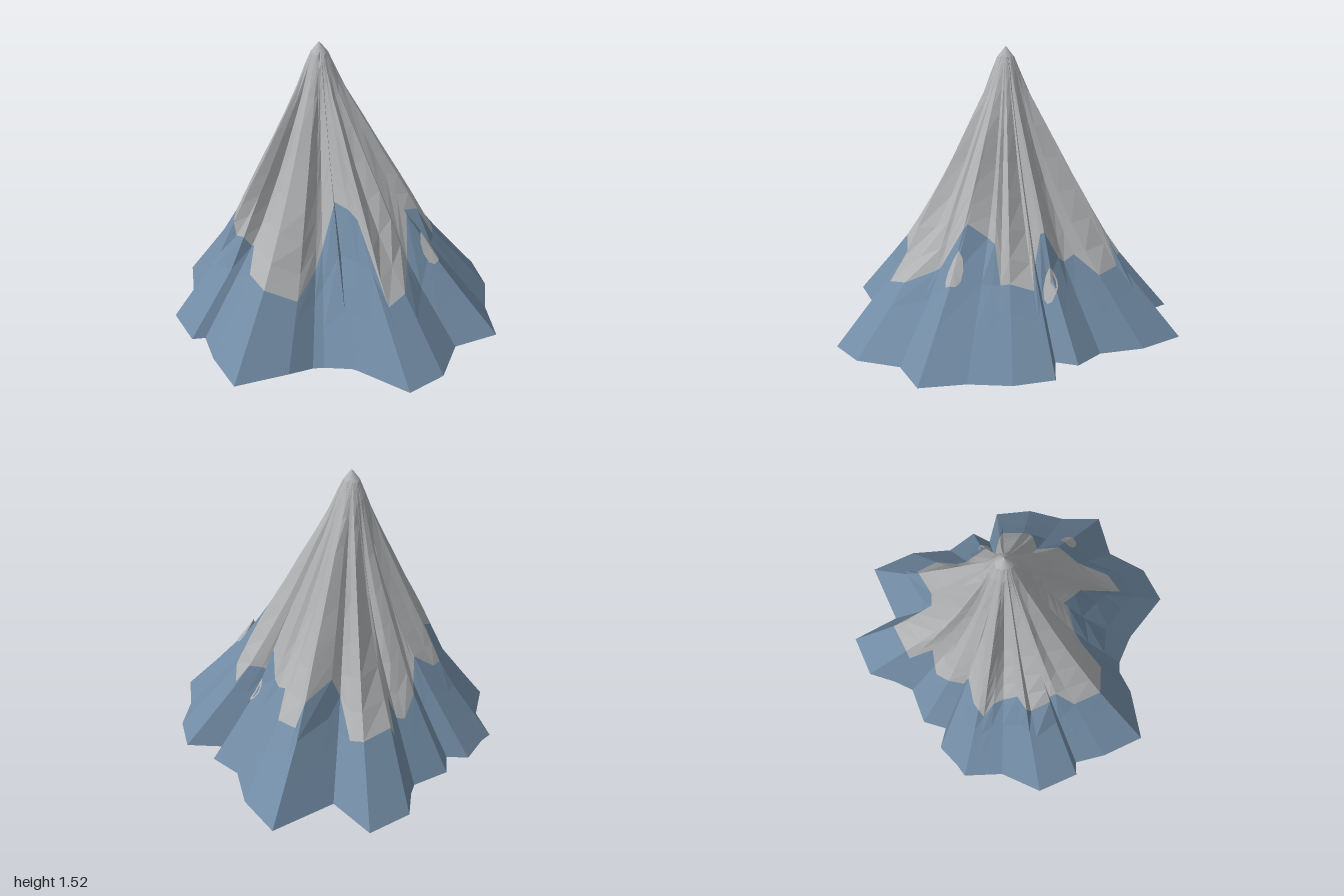
import * as THREE from 'three';

const PEAK = { x: -0.145, z: 0.015, y: 1.525 };

// Foot of the mountain (x, z), alternating ridges and gullies
const FOOT = [
  [0.93, 0.02], [0.76, 0.21], [0.78, 0.45], [0.67, 0.64], [0.36, 0.61], [0.17, 0.62], [0.12, 0.65], [0.05, 0.79],
  [-0.16, 0.99], [-0.37, 0.86], [-0.5, 0.74], [-0.56, 0.78], [-0.76, 0.65], [-0.8, 0.41], [-0.93, 0.23], [-0.85, 0.01],
  [-0.74, -0.03], [-0.78, -0.16], [-0.66, -0.33], [-0.74, -0.61], [-0.61, -0.82], [-0.36, -0.69], [-0.17, -1],
  [0.06, -0.86], [0.21, -0.67], [0.39, -0.61], [0.4, -0.49], [0.59, -0.56], [0.73, -0.39], [0.8, -0.18],
];

// Snow line seen from above (x, z)
const SNOW = [
  [0.36, 0.03], [0.42, 0.16], [0.52, 0.2], [0.43, 0.44], [0.28, 0.31], [0.14, 0.27], [0.05, 0.26], [0.02, 0.4],
  [-0.01, 0.58], [-0.14, 0.65], [-0.3, 0.55], [-0.32, 0.45], [-0.48, 0.4], [-0.47, 0.3], [-0.55, 0.2],
  [-0.62, 0.18], [-0.6, 0.1], [-0.52, 0], [-0.56, -0.1], [-0.55, -0.2], [-0.48, -0.27], [-0.56, -0.38],
  [-0.46, -0.56], [-0.38, -0.53], [-0.32, -0.4], [-0.23, -0.4], [-0.13, -0.63], [0, -0.57], [0.02, -0.45],
  [0.1, -0.38], [0.13, -0.28], [0.22, -0.3], [0.36, -0.35], [0.43, -0.2], [0.33, -0.13],
];

// Slope profile: height against share of the foot radius
const SLOPE = [[0, 1], [0.28, 0.75], [0.42, 0.63], [0.62, 0.5], [0.9, 0.33], [1.25, 0.15], [1.46, 0.06], [PEAK.y, 0]];

function lookUp(value, from, to) {
  for (let i = 1; i < SLOPE.length; i++) {
    const a = SLOPE[i - 1], b = SLOPE[i];
    const t = (value - a[from]) / (b[from] - a[from]);
    if (t <= 1) return a[to] + (b[to] - a[to]) * Math.max(t, 0);
  }
  return SLOPE[SLOPE.length - 1][to];
}
const shareAt = (y) => lookUp(y, 0, 1);
const heightOf = (share) => lookUp(share, 1, 0);
const angleOf = ([x, z]) => Math.atan2(z - PEAK.z, x - PEAK.x);

// Distance from the peak axis to an outline in a given direction
function reach(outline, angle) {
  const dx = Math.cos(angle), dz = Math.sin(angle);
  let best = 0;
  outline.forEach((p, i) => {
    const q = outline[(i + 1) % outline.length];
    const px = p[0] - PEAK.x, pz = p[1] - PEAK.z, ex = q[0] - p[0], ez = q[1] - p[1];
    const det = dx * ez - dz * ex;
    if (Math.abs(det) < 1e-9) return;
    const t = (px * ez - pz * ex) / det, s = (px * dz - pz * dx) / det;
    if (s >= -1e-6 && s <= 1 + 1e-6 && t > best) best = t;
  });
  return best;
}

function hash(n) {
  const s = Math.sin(n * 127.1 + 3.7) * 43758.5453;
  return s - Math.floor(s);
}

// One column per corner of the foot and of the snow line
function makeColumns() {
  const angles = FOOT.map(angleOf);
  SNOW.map(angleOf).forEach((a) => {
    if (angles.every((b) => Math.abs(a - b) > 0.025)) angles.push(a);
  });
  return angles.sort((a, b) => a - b).map((angle, i) => {
    const radius = reach(FOOT, angle);
    return {
      angle, radius,
      base: radius < 0.72 ? 0 : 0.03,
      snow: heightOf(Math.min(reach(SNOW, angle) / radius, 0.8)),
      rough: (hash(i) - 0.5) * 0.26,
    };
  });
}

// Point on a column; the upper slopes are creased in and out
function pointOn(col, y) {
  const crease = y > 0.4 && y < 1.46 ? Math.sin((Math.PI * (y - 0.4)) / 1.06) : 0;
  const round = THREE.MathUtils.smoothstep(y, 1.1, 1.5);
  const r = THREE.MathUtils.lerp(col.radius, 0.85, round) * shareAt(y) * (1 + col.rough * crease);
  return [PEAK.x + Math.cos(col.angle) * r, y, PEAK.z + Math.sin(col.angle) * r];
}

// Band of faces around the mountain between two heights of each column
function band(columns, steps, low, high) {
  const pos = [], index = [];
  columns.forEach((c) => steps.forEach((t) => pos.push(...pointOn(c, low(c) + (high(c) - low(c)) * t))));
  const n = steps.length;
  columns.forEach((_, i) => {
    const j = (i + 1) % columns.length;
    for (let k = 0; k < n - 1; k++) {
      const a = i * n + k, b = j * n + k;
      index.push(a, a + 1, b, b, a + 1, b + 1);
    }
  });
  return toFacets(pos, index);
}

function toFacets(pos, index) {
  const g = new THREE.BufferGeometry();
  g.setAttribute('position', new THREE.Float32BufferAttribute(pos, 3));
  g.setIndex(index);
  const flat = g.toNonIndexed();
  flat.computeVertexNormals();
  return flat;
}

// Small snow patch lying on the rock
function patch(cx, cz, r) {
  const sides = 10, pos = [], index = [];
  const add = (x, z) => {
    const share = Math.hypot(x - PEAK.x, z - PEAK.z) / reach(FOOT, angleOf([x, z]));
    pos.push(x + 0.006 * Math.sign(cx), heightOf(share) + 0.008, z);
  };
  add(cx, cz);
  for (let i = 0; i < sides; i++) {
    const a = (i / sides) * Math.PI * 2;
    add(cx + Math.cos(a) * r, cz + Math.sin(a) * r * 0.8);
    index.push(0, 1 + ((i + 1) % sides), 1 + i);
  }
  return toFacets(pos, index);
}

export function createModel() {
  const rock = new THREE.MeshStandardMaterial({ color: 0x728ca5, flatShading: true, side: THREE.DoubleSide });
  rock.name = 'blueRock';
  const snow = new THREE.MeshStandardMaterial({ color: 0xb0b2b4, flatShading: true, side: THREE.DoubleSide });
  snow.name = 'greySnow';

  const group = new THREE.Group();
  group.name = 'mountain';
  const add = (name, geometry, material) => {
    const mesh = new THREE.Mesh(geometry, material);
    mesh.name = name;
    group.add(mesh);
  };

  const columns = makeColumns();
  add('lowerSlopes', band(columns, [0, 0.33, 0.67, 1], (c) => c.base, (c) => c.snow), rock);
  add('snowCap', band(columns, [0, 0.1, 0.22, 0.35, 0.5, 0.64, 0.78, 0.88, 0.95, 1], (c) => c.snow, () => PEAK.y), snow);
  add('eastSnowPatch', patch(0.49, 0.02, 0.055), snow);
  add('northSnowPatch', patch(0.22, -0.39, 0.045), snow);
  return group;
}
